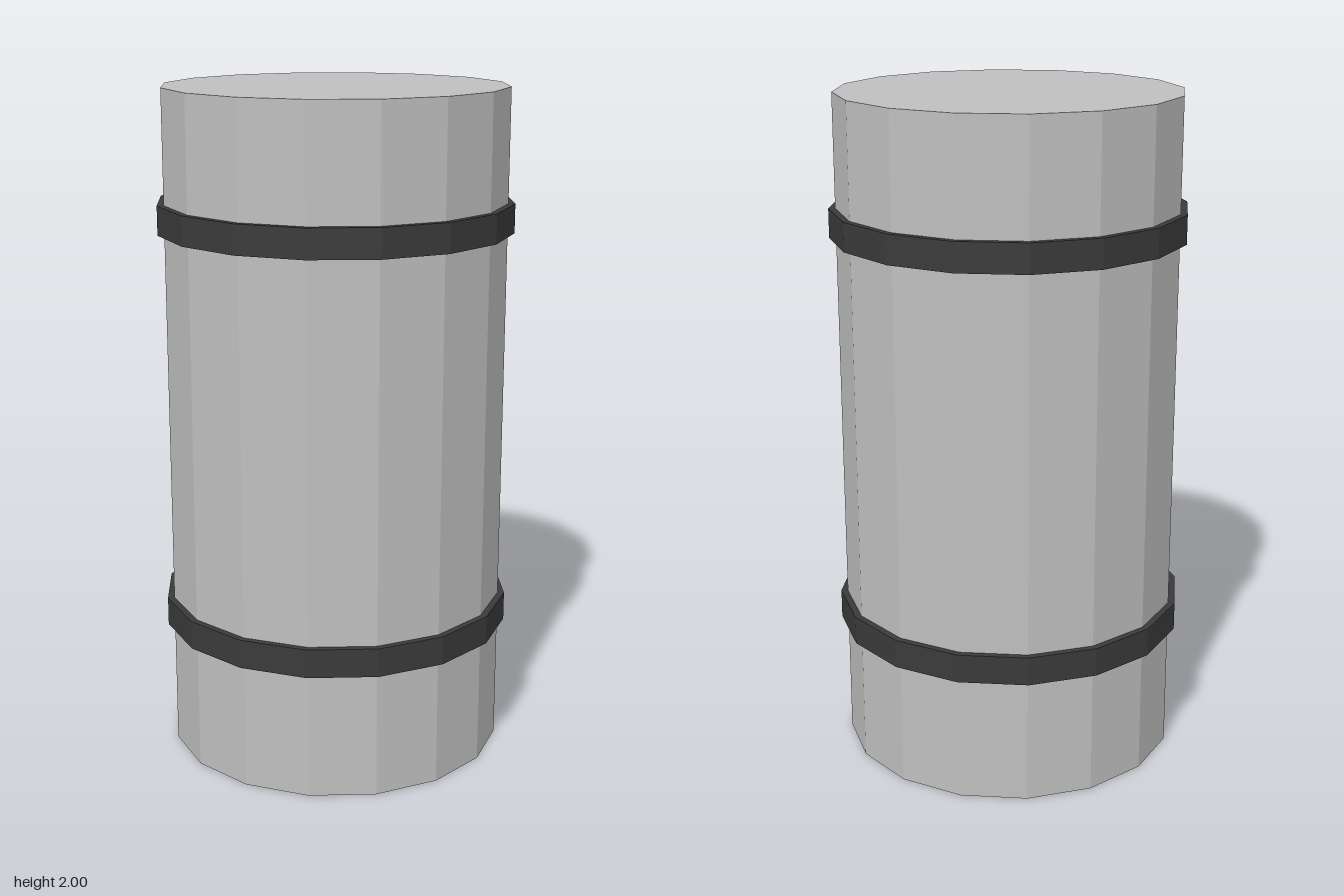
import * as THREE from 'three';

const SIDES = 16;
const RADIUS = 0.506;
const BAND_RADIUS = 0.526;
const BAND_HEIGHT = 0.086;

export function createModel() {
  const model = new THREE.Group();
  model.name = 'bandedDrum';

  const bodyGrey = new THREE.MeshStandardMaterial({ color: 0xbfbfbf, flatShading: true });
  bodyGrey.name = 'bodyGrey';
  const bandDark = new THREE.MeshStandardMaterial({ color: 0x3a3a3a, flatShading: true });
  bandDark.name = 'bandDark';

  // Faceted drum with flat ends
  const body = new THREE.Mesh(new THREE.CylinderGeometry(RADIUS, RADIUS, 2, SIDES), bodyGrey);
  body.name = 'drumBody';
  body.position.y = 1;
  model.add(body);

  // Square-edged hoop, open where it meets the drum
  const h = BAND_HEIGHT / 2;
  const hoop = new THREE.LatheGeometry([
    new THREE.Vector2(RADIUS - 0.004, -h),
    new THREE.Vector2(BAND_RADIUS, -h),
    new THREE.Vector2(BAND_RADIUS, h),
    new THREE.Vector2(RADIUS - 0.004, h),
  ], SIDES);

  for (const [name, y] of [['lowerBand', 0.424], ['upperBand', 1.625]]) {
    const band = new THREE.Mesh(hoop, bandDark);
    band.name = name;
    band.position.y = y;
    model.add(band);
  }
  return model;
}
